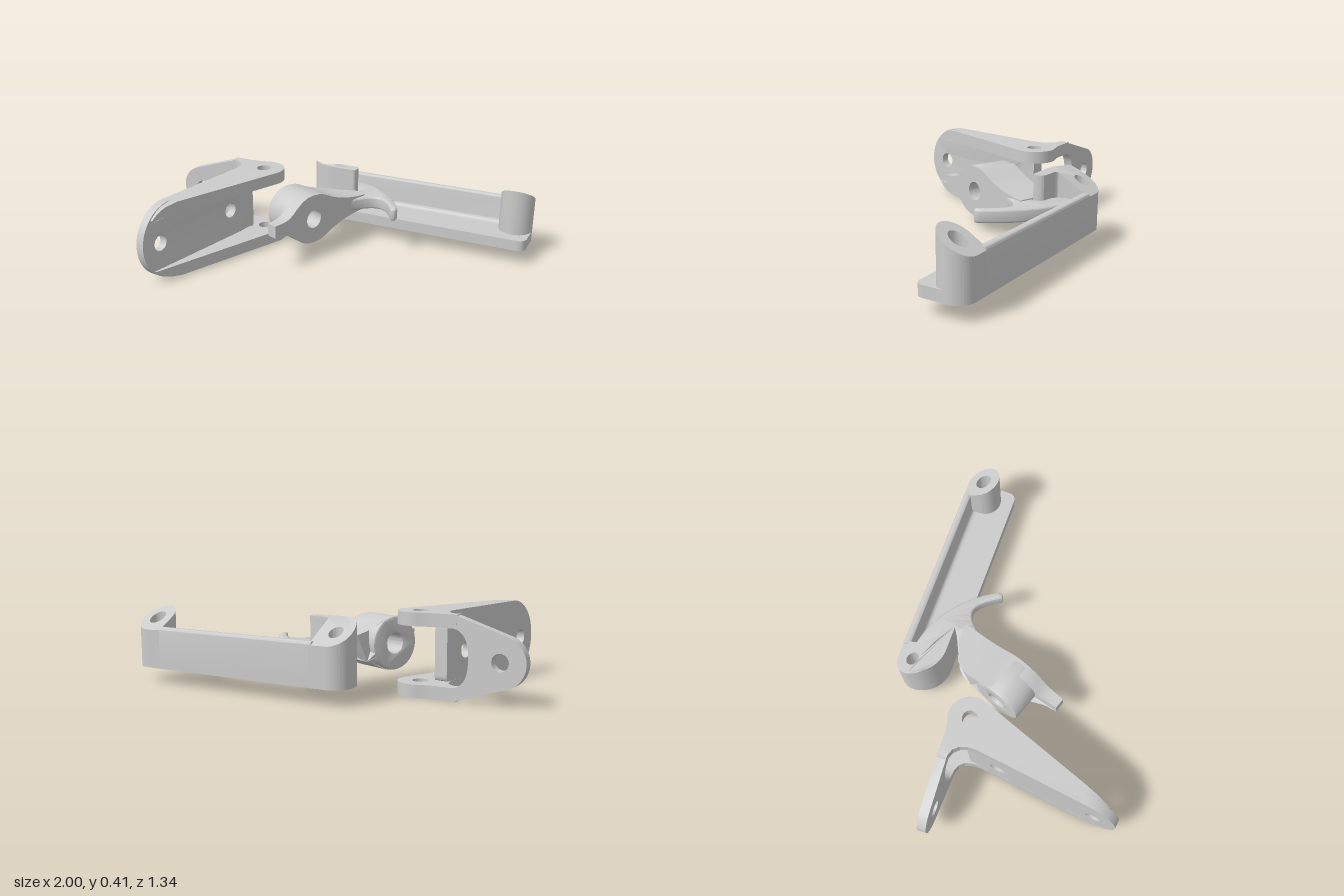
import * as THREE from 'three';
import { toCreasedNormals } from 'three/addons/utils/BufferGeometryUtils.js';

const mat = new THREE.MeshStandardMaterial({ color: 0xcccccc });

function part(name, geo, parent, crease = 0.6) {
  const mesh = new THREE.Mesh(toCreasedNormals(geo, crease), mat);
  mesh.name = name;
  parent.add(mesh);
  return mesh;
}

function hole(shape, x, y, r) {
  shape.holes.push(new THREE.Path().absarc(x, y, r, 0, Math.PI * 2, true));
}

// Move every vertex by a rule
function reshape(geo, rule) {
  const p = geo.attributes.position, v = new THREE.Vector3();
  for (let i = 0; i < p.count; i++) {
    v.fromBufferAttribute(p, i);
    rule(v);
    p.setXYZ(i, v.x, v.y, v.z);
  }
  geo.computeVertexNormals();
  return geo;
}

// Extrude a plan shape (x, -z) upwards from y0 to y1
function plan(shape, y0, y1, bevel = 0, steps = 1) {
  const geo = new THREE.ExtrudeGeometry(shape, {
    depth: y1 - y0 - 2 * bevel, steps, curveSegments: 20, bevelEnabled: bevel > 0,
    bevelSize: bevel, bevelThickness: bevel, bevelOffset: -bevel, bevelSegments: 3,
  });
  return geo.rotateX(-Math.PI / 2).translate(0, y0 + bevel, 0);
}

// Linear interpolation in a table of [position, value]
function lookup(table, t) {
  if (t <= table[0][0]) return table[0][1];
  for (let i = 1; i < table.length; i++) {
    const [a, va] = table[i - 1], [b, vb] = table[i];
    if (t <= b) return va + (vb - va) * (t - a) / (b - a);
  }
  return table[table.length - 1][1];
}

const toShape = pts => new THREE.Shape(pts.map(([x, z]) => new THREE.Vector2(x, -z)));

function hingeBracket() {
  const g = new THREE.Group();
  g.name = 'hingeBracket';
  const mid = 0.205;

  // Upper and lower flanges, with tips trimmed to the round end of the side plate
  const flange = toShape([[-0.69, 0.655], [-0.645, 0.65], [-0.325, -0.135]]);
  flange.absarc(-0.43, 0.178, 0.113, -0.4, 1.95, false);
  for (const [x, z] of [[-0.5, -0.277], [-0.53, -0.27], [-0.66, -0.27], [-0.66, -0.22],
    [-0.635, -0.22], [-0.605, -0.207], [-0.582, -0.18], [-0.571, -0.145], [-0.569, -0.1]]) flange.lineTo(x, -z);
  hole(flange, -0.43, 0.178, 0.04);
  for (const [name, y0] of [['lowerFlange', 0], ['upperFlange', 0.345]]) {
    const geo = reshape(plan(flange, y0, y0 + 0.065, 0, 6), v => {
      if (v.z < 0.4) return;
      const k = (v.y - mid) / mid;
      const z = 0.46 + 0.195 * Math.sqrt(Math.max(0, 1 - k * k));
      v.x += (v.x < -0.67 ? -0.16 : -0.41) * (z - v.z);
      v.z = z;
    });
    part(name, geo, g, 0.4);
  }

  // Slanted side plate with two screw holes, slightly thicker at the hinge end
  const plate = new THREE.Shape();
  plate.moveTo(0.2, 0);
  plate.lineTo(0.74, 0);
  plate.lineTo(0.74, 0.06);
  plate.lineTo(0.8, 0.06);
  plate.quadraticCurveTo(0.825, 0.06, 0.825, 0.09);
  plate.lineTo(0.825, 0.32);
  plate.quadraticCurveTo(0.825, 0.35, 0.8, 0.35);
  plate.lineTo(0.74, 0.35);
  plate.lineTo(0.74, 0.41);
  plate.lineTo(0.2, 0.41);
  plate.absellipse(0.2, mid, 0.2, mid, Math.PI / 2, Math.PI * 1.5, false);
  hole(plate, 0.12, mid, 0.042);
  hole(plate, 0.66, mid, 0.042);
  const plateGeo = new THREE.ExtrudeGeometry(plate, { depth: 0.046, bevelEnabled: false, curveSegments: 24 });
  reshape(plateGeo, v => { if (v.x > 0.75 && v.z > 0) v.z += 0.025; });
  const side = part('sidePlate', plateGeo, g);
  side.position.set(-0.69, 0, 0.66);
  side.rotation.y = Math.atan2(0.987, 0.158);

  // Tapered screw ear, cut away beside the hinge
  const ear = new THREE.Shape();
  ear.moveTo(-0.6, 0);
  ear.lineTo(-0.6, 0.065);
  ear.lineTo(-0.64, 0.065);
  ear.quadraticCurveTo(-0.72, 0.075, -0.72, mid);
  ear.quadraticCurveTo(-0.72, 0.335, -0.64, 0.345);
  ear.lineTo(-0.6, 0.345);
  ear.lineTo(-0.6, 0.41);
  ear.lineTo(-0.645, 0.41);
  ear.absarc(-0.875, mid, 0.125, Math.PI * 0.595, Math.PI * 1.405, false);
  ear.lineTo(-0.645, 0);
  hole(ear, -0.875, mid, 0.042);
  part('screwEar', new THREE.ExtrudeGeometry(ear, { depth: 0.049, bevelEnabled: false, curveSegments: 20 })
    .translate(0, 0, -0.2695), g);
  return g;
}

function latchLever() {
  const g = new THREE.Group();
  g.name = 'latchLever';
  const ux = 0.361, uz = -0.9326, cy = 0.225, pivot = -0.02;
  // Lever space: u along the lever, n across it (thickness)
  const place = v => {
    const u = v.x, n = v.z;
    v.set(-0.14 + u * ux - n * uz, v.y + cy, -0.09 + u * uz + n * ux);
  };

  // Pivot barrel
  const ring = new THREE.Shape().absarc(pivot, 0, 0.137, 0, Math.PI * 2, false);
  hole(ring, pivot, 0, 0.05);
  const barrel = new THREE.ExtrudeGeometry(ring, {
    depth: 0.19, curveSegments: 24, bevelThickness: 0.01, bevelSize: 0.01, bevelOffset: -0.01, bevelSegments: 2,
  }).translate(0, 0, -0.103);
  part('pivotBarrel', reshape(barrel, place), g);

  // Thumb tab, flared body and neck: half height and inner side along u
  const half = [[-0.29, 0.034], [-0.235, 0.037], [-0.2, 0.045], [-0.17, 0.062], [-0.14, 0.088], [-0.1, 0.117],
    [-0.06, 0.132], [-0.02, 0.136], [0.03, 0.131], [0.07, 0.115], [0.11, 0.095], [0.16, 0.076], [0.215, 0.06],
    [0.26, 0.052], [0.31, 0.045], [0.37, 0.04]];
  const inner = [[-0.29, 0.05], [-0.17, 0.035], [-0.05, 0.035], [0.03, -0.113], [0.18, -0.112], [0.215, -0.105],
    [0.26, -0.085], [0.31, -0.024], [0.34, 0.02], [0.37, 0.03]];
  const pts = half.map(([u, h]) => new THREE.Vector2(u, -h));
  const body = new THREE.Shape(pts.concat(half.map(([u, h]) => new THREE.Vector2(u, h)).reverse()));
  hole(body, pivot, 0, 0.05);
  const bodyGeo = new THREE.ExtrudeGeometry(body, { depth: 1, bevelEnabled: false, curveSegments: 20 });
  part('leverBody', reshape(bodyGeo, v => {
    const n0 = lookup(inner, v.x);
    v.z = n0 + (0.108 - n0) * v.z;
    place(v);
  }), g);

  // Hook head with a catch on one side and a curved finger on the other
  const s = new THREE.Shape();
  s.moveTo(-0.06, 0.38);
  s.quadraticCurveTo(0.02, 0.39, 0.02, 0.425);
  s.quadraticCurveTo(0.03, 0.47, 0, 0.475);
  s.lineTo(-0.05, 0.485);
  s.lineTo(-0.095, 0.51);
  s.lineTo(-0.1, 0.6);
  s.quadraticCurveTo(-0.1, 0.62, -0.07, 0.612);
  s.bezierCurveTo(0.1, 0.58, 0.24, 0.46, 0.325, 0.3);
  s.quadraticCurveTo(0.335, 0.262, 0.3, 0.265);
  s.bezierCurveTo(0.27, 0.31, 0.23, 0.39, 0.175, 0.39);
  s.bezierCurveTo(0.13, 0.39, 0.08, 0.34, 0.04, 0.27);
  s.lineTo(-0.02, 0.29);
  part('hookHead', plan(s, cy - 0.035, cy + 0.035, 0.012), g, 0.8);
  return g;
}

function strikeBar() {
  const g = new THREE.Group();
  g.name = 'strikeBar';
  const y0 = 0.08;
  const slope = v => { if (v.y > 0.2) v.y = Math.min(0.387, 0.28 + (v.z + 0.668) * 0.6); };

  // Floor with one large rounded end
  const floor = new THREE.Shape();
  floor.moveTo(-0.12, 0.42);
  floor.lineTo(0.95, 0.42);
  floor.quadraticCurveTo(1, 0.42, 1, 0.47);
  floor.lineTo(1, 0.58);
  floor.absarc(0.91, 0.58, 0.09, 0, Math.PI / 2, false);
  floor.lineTo(-0.195, 0.67);
  floor.absarc(-0.195, 0.58, 0.09, Math.PI / 2, Math.PI, false);
  floor.bezierCurveTo(-0.285, 0.49, -0.21, 0.42, -0.12, 0.42);
  hole(floor, -0.2, 0.58, 0.035);
  hole(floor, 0.91, 0.58, 0.042);
  part('floor', plan(floor, y0, 0.138), g);

  // Back wall with a fillet at its foot
  const wall = new THREE.Shape();
  wall.moveTo(0.67, 0.1);
  wall.lineTo(0.67, 0.28);
  wall.quadraticCurveTo(0.668, 0.294, 0.655, 0.295);
  wall.lineTo(0.64, 0.295);
  wall.quadraticCurveTo(0.63, 0.294, 0.629, 0.28);
  wall.lineTo(0.629, 0.165);
  wall.quadraticCurveTo(0.627, 0.138, 0.6, 0.138);
  wall.lineTo(0.6, 0.1);
  part('backWall', new THREE.ExtrudeGeometry(wall, { depth: 0.96, bevelEnabled: false })
    .rotateY(Math.PI / 2).translate(-0.12, 0, 0), g);

  // Keeper end: sloped boss with a lip for the hook
  const keeper = new THREE.Shape();
  keeper.moveTo(-0.12, 0.42);
  keeper.lineTo(0.005, 0.42);
  keeper.quadraticCurveTo(0.02, 0.42, 0.02, 0.435);
  keeper.lineTo(0.02, 0.465);
  keeper.quadraticCurveTo(0.015, 0.48, 0, 0.482);
  keeper.lineTo(-0.085, 0.49);
  keeper.quadraticCurveTo(-0.105, 0.492, -0.105, 0.51);
  keeper.lineTo(-0.105, 0.67);
  keeper.lineTo(-0.195, 0.67);
  keeper.absarc(-0.195, 0.58, 0.09, Math.PI / 2, Math.PI, false);
  keeper.bezierCurveTo(-0.285, 0.49, -0.21, 0.42, -0.12, 0.42);
  hole(keeper, -0.2, 0.58, 0.035);
  part('keeperBoss', reshape(plan(keeper, y0 + 0.001, 0.39), slope), g);

  // Far end: sloped round screw boss
  const boss = new THREE.Shape();
  boss.moveTo(1, 0.58);
  boss.absarc(0.91, 0.58, 0.09, 0, Math.PI / 2, false);
  boss.lineTo(0.82, 0.67);
  boss.lineTo(0.82, 0.58);
  boss.absarc(0.91, 0.58, 0.09, Math.PI, Math.PI * 2, false);
  hole(boss, 0.91, 0.58, 0.042);
  part('screwBoss', reshape(plan(boss, y0 + 0.001, 0.39), slope), g);
  return g;
}

export function createModel() {
  const model = new THREE.Group();
  model.name = 'latchSet';
  model.add(hingeBracket(), latchLever(), strikeBar());
  return model;
}
